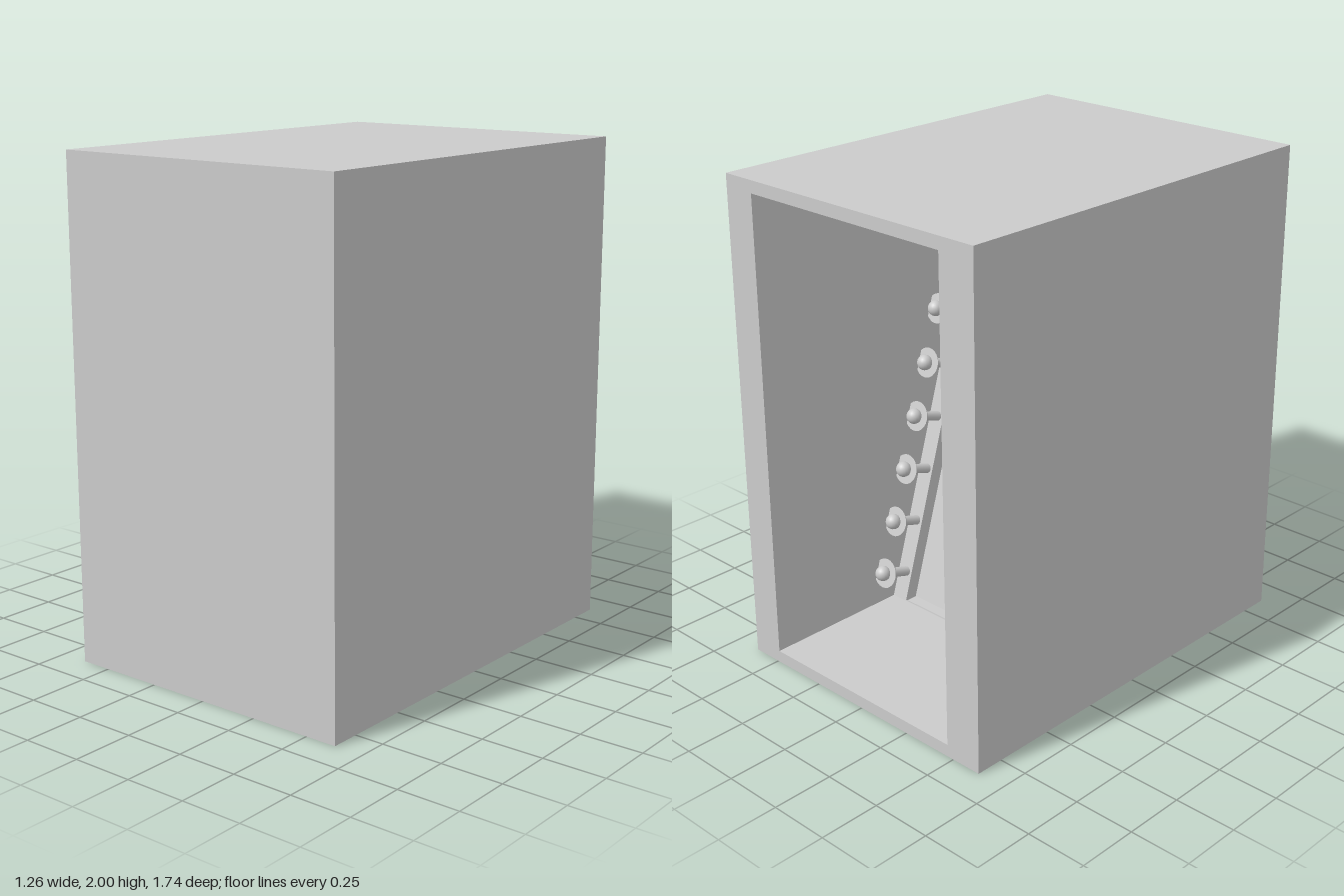
import * as THREE from 'three';

const material = new THREE.MeshStandardMaterial({ color: 0xcccccc });

function part(name, geometry, parent, x = 0, y = 0, z = 0) {
  const mesh = new THREE.Mesh(geometry, material);
  mesh.name = name;
  mesh.position.set(x, y, z);
  parent.add(mesh);
  return mesh;
}

// Upright outline standing on y = bottom, with rounded upper corners
function outline(Type, half, bottom, top, r) {
  const s = new Type();
  s.moveTo(-half, bottom);
  s.lineTo(half, bottom);
  s.lineTo(half, top - r);
  s.quadraticCurveTo(half, top, half - r, top);
  s.lineTo(-half + r, top);
  s.quadraticCurveTo(-half, top, -half, top - r);
  s.lineTo(-half, bottom);
  return s;
}

const extrude = (shape, depth) =>
  new THREE.ExtrudeGeometry(shape, { depth, bevelEnabled: false, curveSegments: 10 });

export function createModel() {
  const model = new THREE.Group();
  model.name = 'cabinet';

  const W = 1.26, H = 2, D = 1.735, wall = 0.05;
  const inLeft = 0.49, inRight = -0.47;

  // Cabinet walls: a rectangular tube, open at the back
  const ring = new THREE.Shape([
    new THREE.Vector2(-W / 2, 0), new THREE.Vector2(W / 2, 0),
    new THREE.Vector2(W / 2, H), new THREE.Vector2(-W / 2, H),
  ]);
  ring.holes.push(new THREE.Path([
    new THREE.Vector2(inRight, wall), new THREE.Vector2(inRight, H - wall),
    new THREE.Vector2(inLeft, H - wall), new THREE.Vector2(inLeft, wall),
  ]));
  part('cabinetWalls', extrude(ring, D - wall), model, 0, 0, -D / 2);

  // Closed front
  part('frontPanel', new THREE.BoxGeometry(W, H, wall), model, 0, H / 2, D / 2 - wall / 2);

  // Leaning board inside, facing the open back
  const board = new THREE.Group();
  board.name = 'leaningBoard';
  board.position.set((inLeft + inRight) / 2, wall, -0.24);
  board.rotation.x = 0.298;
  model.add(board);

  const half = (inLeft - inRight) / 2, top = 1.64, border = 0.075, recess = 0.055;
  const frame = outline(THREE.Shape, half, 0, top, 0.12);
  frame.holes.push(outline(THREE.Path, half - border, 0.003, top - border, 0.08));
  part('boardFrame', extrude(frame, recess), board);
  part('boardFace', extrude(outline(THREE.Shape, half, 0, top, 0.12), 0.03), board, 0, 0, recess);

  // Bulbs up both sides and across the top of the frame
  const stemGeo = new THREE.CylinderGeometry(0.02, 0.02, 0.12, 12).rotateX(Math.PI / 2);
  const dishGeo = new THREE.CylinderGeometry(0.062, 0.05, 0.015, 24).rotateX(-Math.PI / 2);
  const bulbGeo = new THREE.SphereGeometry(0.032, 20, 14);
  function addBulb(x, y) {
    const lamp = new THREE.Group();
    lamp.name = 'lamp';
    lamp.position.set(x, y, 0);
    board.add(lamp);
    part('stem', stemGeo, lamp, 0, 0, -0.06);
    part('dish', dishGeo, lamp, 0, 0, -0.12);
    part('bulb', bulbGeo, lamp, 0, 0, -0.14);
  }
  for (let i = 0; i < 7; i++) {
    for (const side of [-1, 1]) addBulb(side * 0.435, 0.124 + i * 0.2275);
  }
  for (let i = -2; i <= 2; i++) addBulb(i * 0.165, 1.59);

  return model;
}
